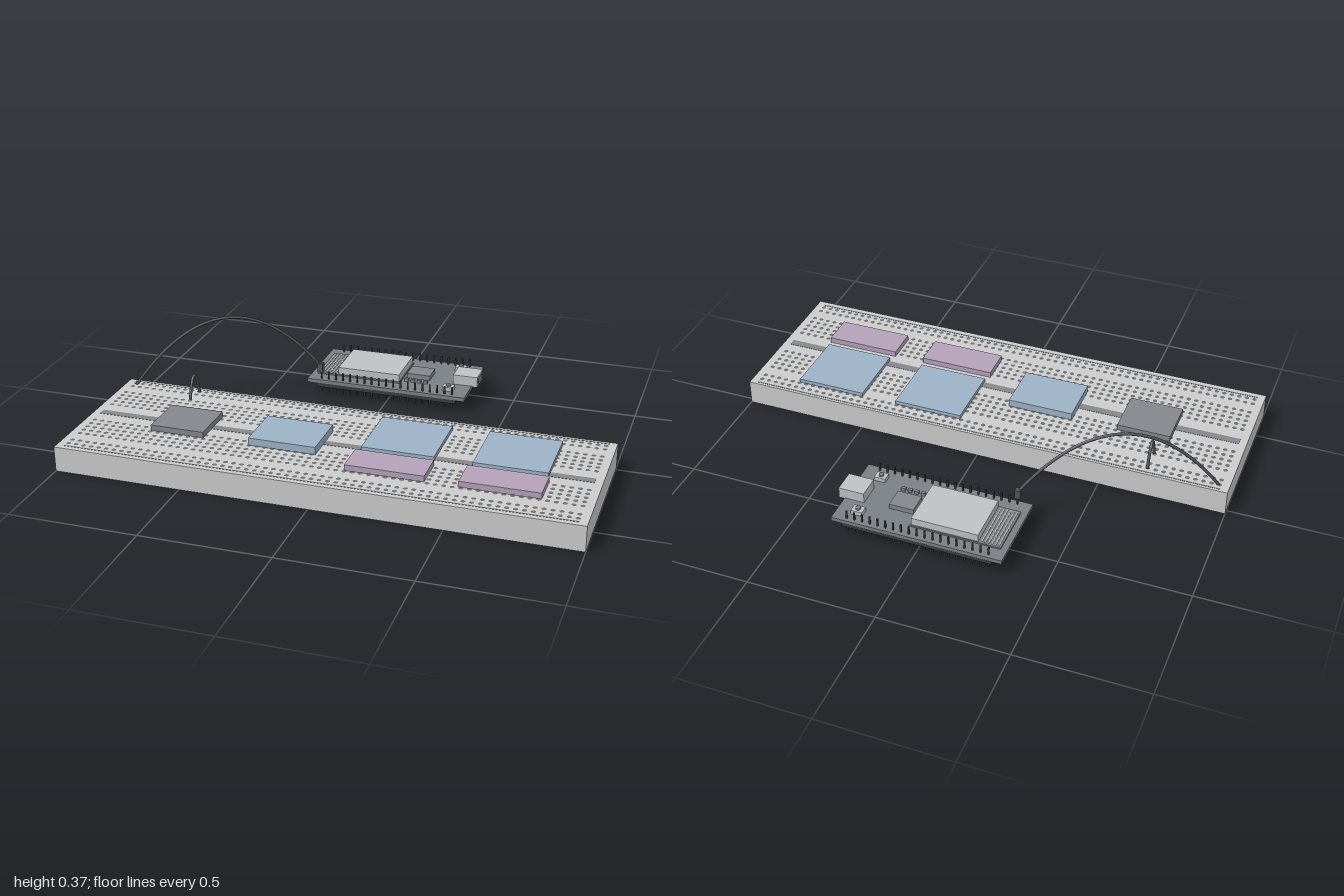
import * as THREE from 'three';
import { mergeGeometries } from 'three/addons/utils/BufferGeometryUtils.js';

const mat = (color) => new THREE.MeshStandardMaterial({ color });
const GREY = mat(0xcccccc), BLUE = mat(0x9db2c6), PURPLE = mat(0xb3a1b9);
const DARK = mat(0x83888d), PCB = mat(0x7b8085), BLACK = mat(0x3c3d42);
const METAL = mat(0xbfc1c4), HOLE = mat(0x6c6e70), WIRE = mat(0x55565a);

// Box geometry given by its limits on each axis
function boxGeo(x0, x1, y0, y1, z0, z1) {
  return new THREE.BoxGeometry(x1 - x0, y1 - y0, z1 - z0)
    .translate((x0 + x1) / 2, (y0 + y1) / 2, (z0 + z1) / 2);
}

function add(parent, name, geometry, material) {
  const mesh = new THREE.Mesh(geometry, material);
  mesh.name = name;
  parent.add(mesh);
  return mesh;
}

const PITCH = 0.031;
const TOP = 0.1;

function createBreadboard() {
  const g = new THREE.Group();
  g.name = 'breadboard';
  add(g, 'boardBody', boxGeo(-1, 1, 0, TOP, -0.02, 0.645), GREY);
  add(g, 'centreChannel', boxGeo(-0.97, 0.97, TOP - 0.01, TOP + 0.001, 0.29, 0.323), DARK);
  add(g, 'railLines', mergeGeometries([-0.006, 0.621].map((z) =>
    boxGeo(-0.97, 0.97, TOP - 0.01, TOP + 0.001, z - 0.003, z + 0.003))), DARK);

  // Contact holes: two power rails and two banks of five rows
  const rows = [0.016, 0.047, 0.57, 0.601];
  for (let i = 0; i < 5; i++) rows.push(0.11 + i * PITCH, 0.385 + i * PITCH);
  const hole = new THREE.CircleGeometry(0.0095, 8).rotateX(-Math.PI / 2);
  const holes = [];
  for (const z of rows) {
    for (let c = -31; c <= 31; c++) holes.push(hole.clone().translate(c * PITCH, TOP + 0.0015, z));
  }
  add(g, 'contactHoles', mergeGeometries(holes), HOLE);
  return g;
}

function createModules() {
  const g = new THREE.Group();
  g.name = 'plugInModules';
  add(g, 'darkModule', boxGeo(-0.715, -0.5, TOP, 0.123, 0.21, 0.405), DARK);
  add(g, 'smallBlueModule', boxGeo(-0.315, -0.05, TOP, 0.13, 0.205, 0.412), BLUE);
  for (const x of [0.24, 0.665]) {
    add(g, 'largeBlueModule', boxGeo(x - 0.14, x + 0.14, TOP, 0.116, 0.053, 0.328), BLUE);
    add(g, 'purpleModule', boxGeo(x - 0.15, x + 0.15, TOP, 0.123, 0.365, 0.5), PURPLE);
  }
  return g;
}

function createController() {
  const g = new THREE.Group();
  g.name = 'controllerBoard';
  const Y = 0.071;
  add(g, 'circuitBoard', boxGeo(-0.335, 0.335, 0.056, Y, -0.645, -0.308), PCB);
  add(g, 'boardUnderside', boxGeo(-0.333, 0.333, 0.053, 0.056, -0.643, -0.31), BLACK);

  // Header strips and pins along both long edges
  const pins = [];
  for (const z of [-0.326, -0.627]) {
    add(g, 'headerStrip', boxGeo(-0.296, 0.296, 0.038, 0.053, z - 0.014, z + 0.014), BLACK);
    for (let i = -9; i <= 9; i++) {
      const x = i * PITCH;
      pins.push(boxGeo(x - 0.003, x + 0.003, 0.014, 0.104, z - 0.003, z + 0.003));
    }
  }
  add(g, 'headerPins', mergeGeometries(pins), BLACK);

  // Radio module with its antenna traces
  add(g, 'radioBase', boxGeo(-0.31, 0.045, Y, Y + 0.006, -0.588, -0.37), PCB);
  add(g, 'radioShield', boxGeo(-0.222, 0.041, Y, 0.107, -0.583, -0.375), METAL);
  const traces = [];
  for (let i = 0; i < 6; i++) {
    const x = -0.3 + i * 0.013;
    traces.push(boxGeo(x - 0.002, x + 0.002, Y, Y + 0.008, -0.58, -0.38));
  }
  add(g, 'antennaTraces', mergeGeometries(traces), METAL);

  // Chip, small parts, buttons and socket
  add(g, 'chip', boxGeo(0.058, 0.156, Y, 0.091, -0.521, -0.437), DARK);
  const smallParts = [];
  for (let i = 0; i < 4; i++) {
    const x = 0.066 + i * 0.027;
    smallParts.push(boxGeo(x - 0.008, x + 0.008, Y, 0.084, -0.41, -0.398));
  }
  add(g, 'smallParts', mergeGeometries(smallParts), DARK);
  for (const z of [-0.583, -0.372]) {
    add(g, 'buttonBody', boxGeo(0.23, 0.275, Y, 0.088, z - 0.018, z + 0.018), METAL);
    add(g, 'buttonCap', new THREE.CylinderGeometry(0.01, 0.01, 0.008, 12)
      .translate(0.2525, 0.091, z), DARK);
  }
  add(g, 'usbSocket', boxGeo(0.256, 0.358, 0.068, 0.112, -0.525, -0.433), METAL);
  add(g, 'usbOpening', boxGeo(0.35, 0.3595, 0.079, 0.101, -0.511, -0.447), DARK);
  return g;
}

// Arched jumper wire between two points
function createWire(name, start, end, peak, radius) {
  const a = new THREE.Vector3(...start), b = new THREE.Vector3(...end);
  const mid = a.clone().lerp(b, 0.5);
  mid.y = 2 * peak - mid.y;
  const curve = new THREE.QuadraticBezierCurve3(a, mid, b);
  const mesh = new THREE.Mesh(new THREE.TubeGeometry(curve, 48, radius, 8), WIRE);
  mesh.name = name;
  return mesh;
}

export function createModel() {
  const model = new THREE.Group();
  model.name = 'breadboardCircuit';
  model.add(createBreadboard(), createModules(), createController());
  model.add(createWire('longJumperWire', [-0.957, 0.098, 0.02], [-0.282, 0.13, -0.322], 0.366, 0.006));
  model.add(createWire('shortJumperWire', [-0.68, 0.098, 0.017], [-0.68, 0.108, 0.11], 0.192, 0.006));
  add(model, 'wireConnector', boxGeo(-0.292, -0.27, 0.102, 0.14, -0.336, -0.314), WIRE);
  return model;
}
